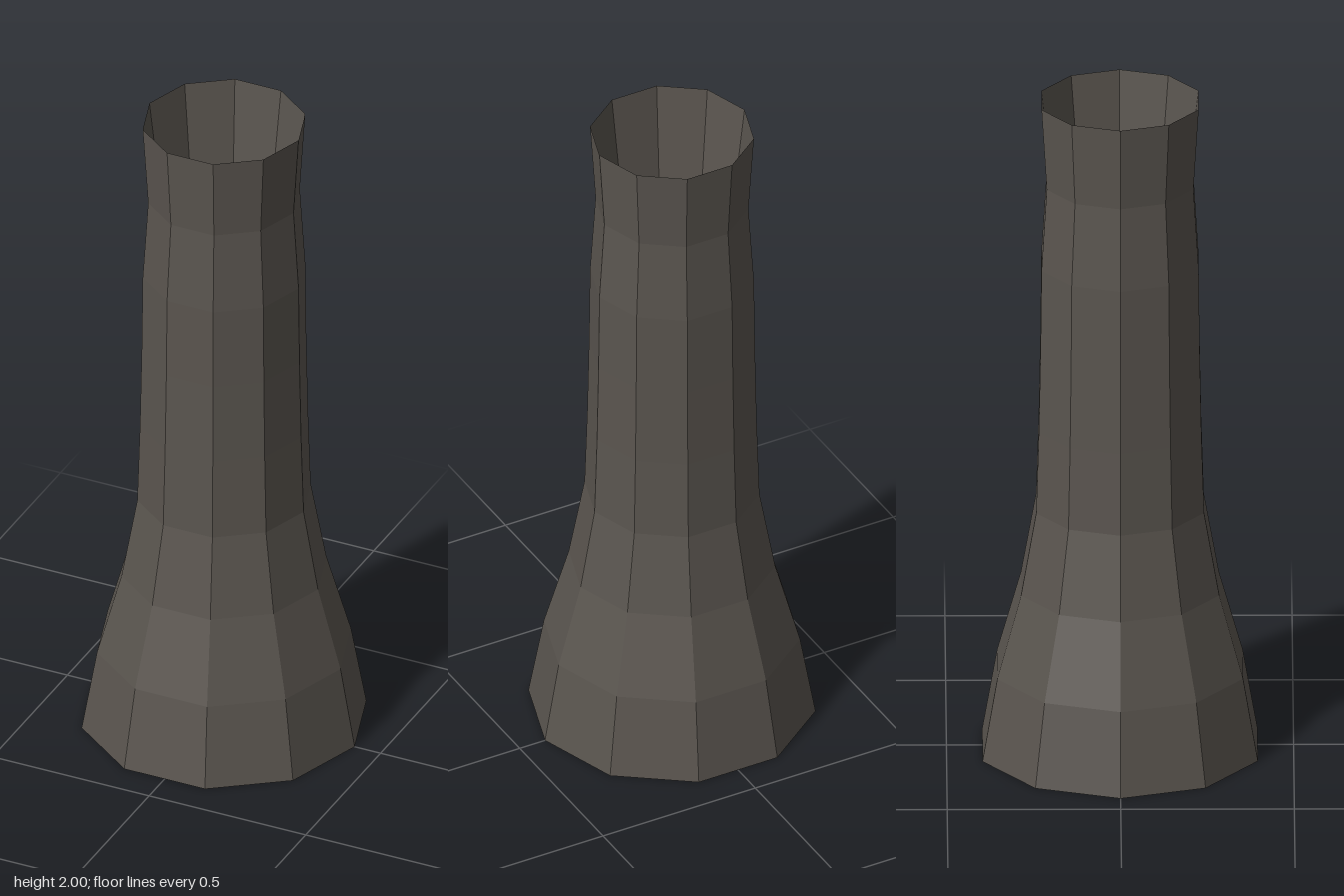
import * as THREE from 'three';

const SIDES = 10;
const STEP = 0.25;
// Outer radius at each ring, from the foot up to the rim
const RADII = [0.417, 0.372, 0.3, 0.254, 0.246, 0.241, 0.238, 0.222, 0.238];

export function createModel() {
  const group = new THREE.Group();
  group.name = 'flaredColumn';

  const material = new THREE.MeshStandardMaterial({
    color: 0x5a554f,
    flatShading: true,
    side: THREE.DoubleSide,
  });

  // Ten-sided surface of revolution with a corner on the x axis
  const addLathe = (name, points) => {
    const mesh = new THREE.Mesh(new THREE.LatheGeometry(points, SIDES, Math.PI / 2), material);
    mesh.name = name;
    group.add(mesh);
  };

  // Outer wall, open at the foot
  const wall = RADII.map((r, i) => new THREE.Vector2(r, i * STEP));
  addLathe('outerWall', wall);

  // Deep funnel running from the rim down to a point at the base
  const rim = wall[wall.length - 1];
  addLathe('innerFunnel', [rim.clone(), new THREE.Vector2(0, 0)]);

  return group;
}
